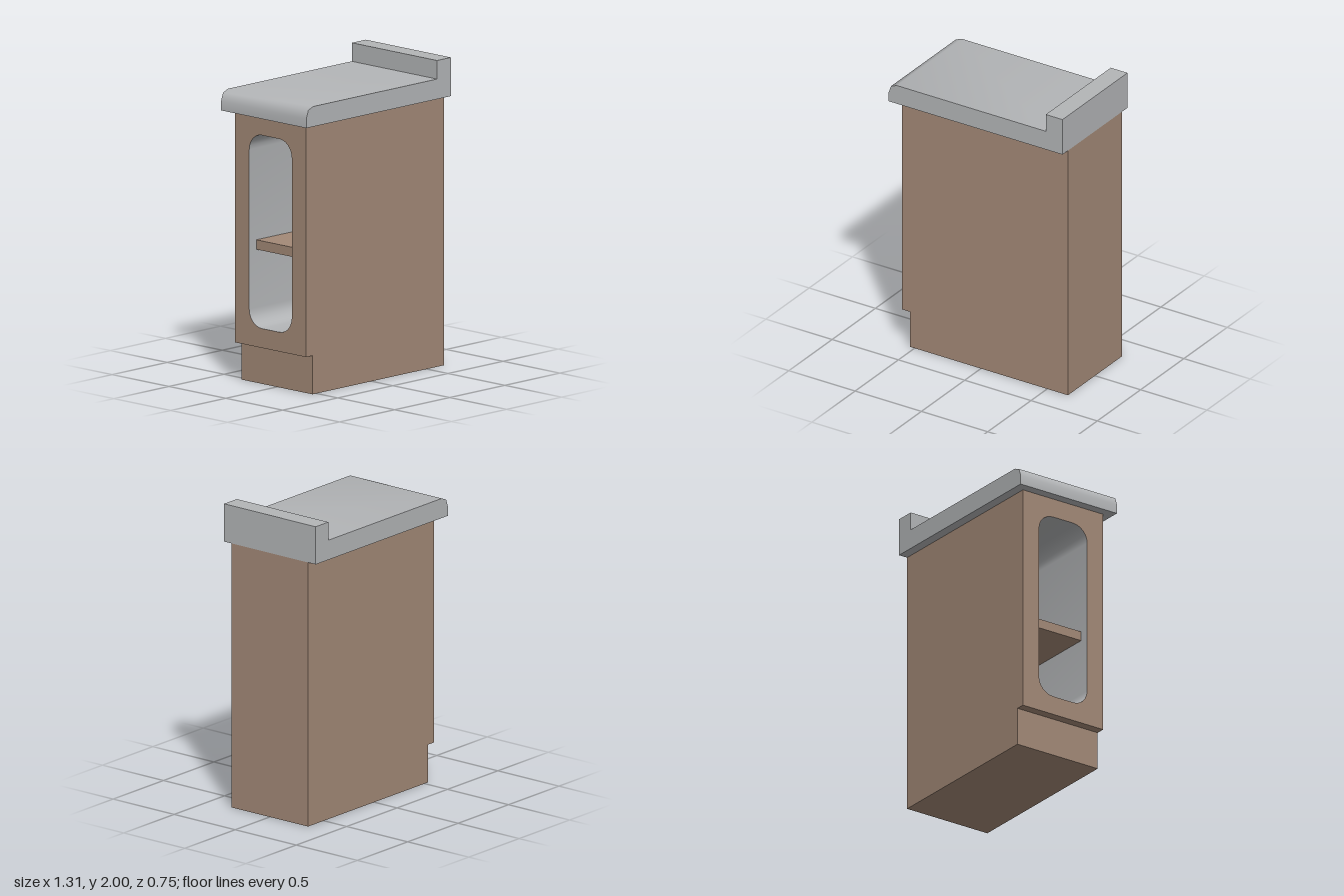
import * as THREE from 'three';
import { toCreasedNormals } from 'three/addons/utils/BufferGeometryUtils.js';

const wood = new THREE.MeshStandardMaterial({ name: 'tan wood', color: 0xa38977 });
const stone = new THREE.MeshStandardMaterial({ name: 'light grey', color: 0xb3b5b7 });

const LEFT = -0.594, RIGHT = 0.656;   // cabinet ends along x
const HALF = 0.3125;                  // cabinet half depth along z
const KICK = 0.25, TOP = 1.75;        // top of the toe kick and of the cabinet
const BACK = 0.0625;                  // panel thickness

function box(name, material, x0, x1, y0, y1, halfZ) {
  const mesh = new THREE.Mesh(new THREE.BoxGeometry(x1 - x0, y1 - y0, halfZ * 2), material);
  mesh.position.set((x0 + x1) / 2, (y0 + y1) / 2, 0);
  mesh.name = name;
  return mesh;
}

// Rounded rectangle centred on u = 0
function roundedHole(hw, y0, y1, r) {
  const p = new THREE.Path();
  p.moveTo(hw, y0 + r);
  p.lineTo(hw, y1 - r);
  p.absarc(hw - r, y1 - r, r, 0, Math.PI / 2, false);
  p.lineTo(-hw + r, y1);
  p.absarc(-hw + r, y1 - r, r, Math.PI / 2, Math.PI, false);
  p.lineTo(-hw, y0 + r);
  p.absarc(-hw + r, y0 + r, r, Math.PI, Math.PI * 1.5, false);
  p.lineTo(hw - r, y0);
  p.absarc(hw - r, y0 + r, r, Math.PI * 1.5, Math.PI * 2, false);
  return p;
}

// Cabinet shell: wooden outside, grey rounded niche running in from the -x end
function cabinetShell() {
  const shape = new THREE.Shape([
    new THREE.Vector2(-HALF, KICK), new THREE.Vector2(HALF, KICK),
    new THREE.Vector2(HALF, TOP), new THREE.Vector2(-HALF, TOP),
  ]);
  shape.holes.push(roundedHole(0.1875, 0.375, 1.625, 0.11));
  let geo = new THREE.ExtrudeGeometry(shape, {
    depth: RIGHT - BACK - LEFT, bevelEnabled: false, curveSegments: 3,
  });
  // The four outer walls come first among the sides; the niche walls follow
  const nicheStart = geo.groups[1].start + 24;
  const total = geo.attributes.position.count;
  geo = toCreasedNormals(geo, 0.7);
  geo.clearGroups();
  geo.addGroup(0, nicheStart, 0);
  geo.addGroup(nicheStart, total - nicheStart, 1);
  geo.rotateY(Math.PI / 2);
  geo.translate(LEFT, 0, 0);
  const mesh = new THREE.Mesh(geo, [wood, stone]);
  mesh.name = 'cabinetShell';
  return mesh;
}

// Worktop with a rounded leading edge and a raised upstand, one profile
function worktop() {
  const profile = [
    [-0.656, 1.75], [0.656, 1.75], [0.656, 2], [0.53, 2], [0.53, 1.88],
    [-0.594, 1.88], [-0.638, 1.862], [-0.656, 1.81],
  ].map(([x, y]) => new THREE.Vector2(x, y));
  let geo = new THREE.ExtrudeGeometry(new THREE.Shape(profile), { depth: 0.75, bevelEnabled: false });
  geo.translate(0, 0, -0.375);
  geo = toCreasedNormals(geo, 0.9);
  const mesh = new THREE.Mesh(geo, stone);
  mesh.name = 'worktop';
  return mesh;
}

export function createModel() {
  const group = new THREE.Group();
  group.name = 'cabinetWithWorktop';
  const inner = RIGHT - BACK;
  group.add(
    cabinetShell(),
    box('endPanel', wood, inner, RIGHT, KICK, TOP, HALF),
    box('nicheBack', stone, inner - 0.005, inner, 0.376, 1.624, 0.187),
    box('toeKickBase', wood, -0.535, RIGHT, 0, KICK, HALF),
    box('shelf', wood, -0.53, inner - 0.005, 0.86, 0.922, 0.1875),
    worktop(),
  );
  return group;
}
